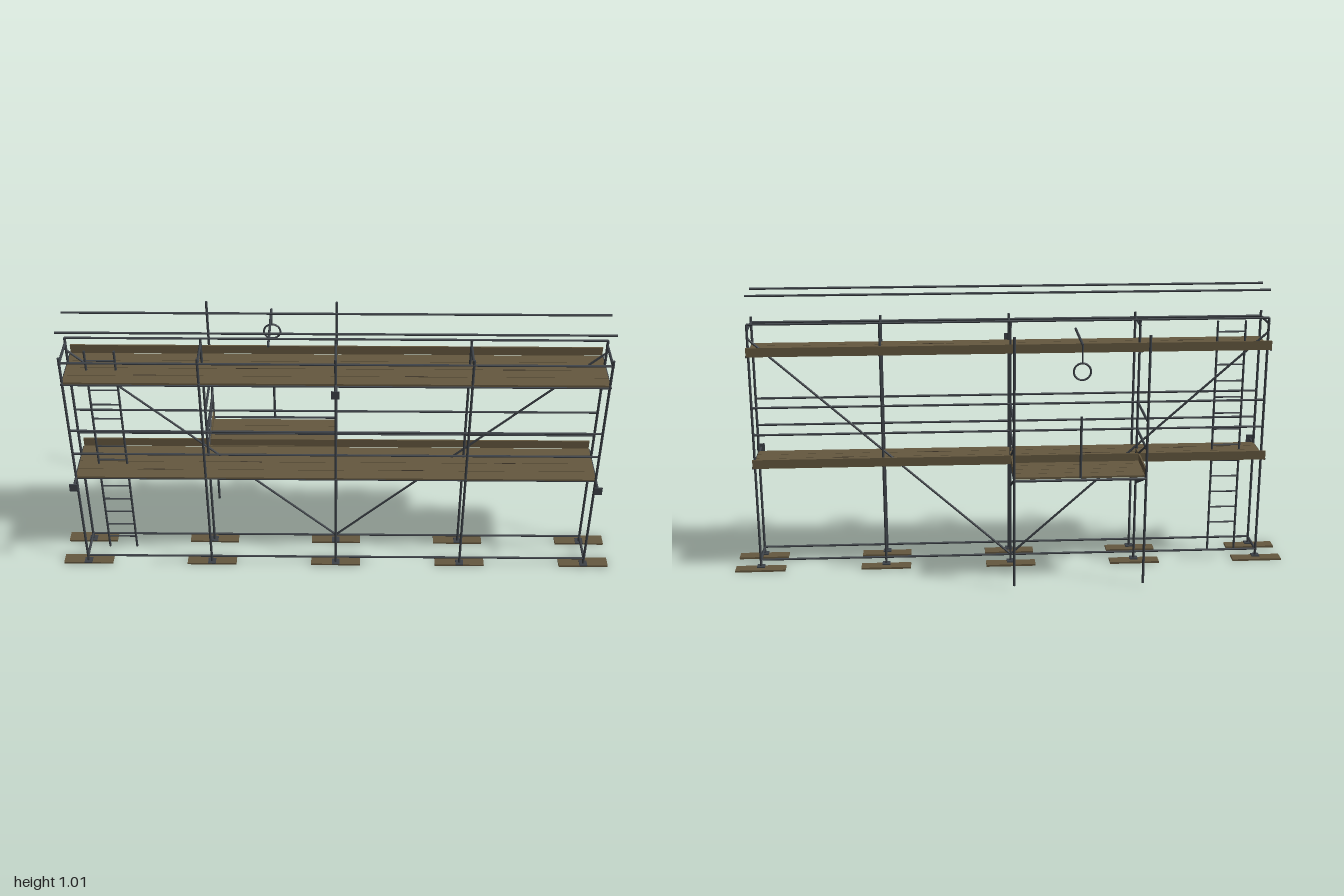
import * as THREE from 'three';

export function createModel() {
  const root = new THREE.Group();
  const mat = (name, color) => {
    const m = new THREE.MeshStandardMaterial({ color });
    m.name = name;
    return m;
  };
  const steel = mat('tube steel', 0x3c4147);
  const timber = mat('scaffold board', 0x65583f);
  const darkTimber = mat('board joint', 0x40372a);

  const R = 0.0045;
  const BAYS = [-0.91, -0.455, 0, 0.455, 0.91];
  const FRONT = 0.148, INNER = 0.027, REAR = -0.205;
  const END = 0.91;

  const add = (name, geo, m) => {
    const mesh = new THREE.Mesh(geo, m);
    mesh.name = name;
    root.add(mesh);
    return mesh;
  };
  // Round tube between two points
  const tube = (name, a, b, r = R) => {
    const p = new THREE.Vector3(...a), q = new THREE.Vector3(...b);
    const d = q.clone().sub(p);
    const mesh = add(name, new THREE.CylinderGeometry(r, r, d.length(), 10), steel);
    mesh.position.copy(p).add(q).multiplyScalar(0.5);
    mesh.quaternion.setFromUnitVectors(new THREE.Vector3(0, 1, 0), d.normalize());
  };
  // Box given by its minimum and maximum corners
  const box = (name, a, b, m) => {
    const mesh = add(name, new THREE.BoxGeometry(b[0] - a[0], b[1] - a[1], b[2] - a[2]), m);
    mesh.position.set((a[0] + b[0]) / 2, (a[1] + b[1]) / 2, (a[2] + b[2]) / 2);
  };
  // Boards laid side by side along x
  const boards = (name, x0, x1, z0, z1, y, count) => {
    const w = (z1 - z0) / count;
    for (let i = 0; i < count; i++) {
      box(name, [x0, y - 0.007, z0 + i * w + 0.0008], [x1, y, z0 + (i + 1) * w - 0.0008], timber);
    }
  };

  // Uprights with sole boards and base plates
  for (const x of BAYS) {
    for (const z of [FRONT, INNER]) {
      tube('standard', [x, 0.01, z], [x, 0.91, z]);
      const zc = z - 0.012;
      box('soleBoard', [x - 0.09, 0, zc - 0.022], [x + 0.09, 0.007, zc + 0.022], timber);
      box('basePlate', [x - 0.014, 0.007, z - 0.014], [x + 0.014, 0.011, z + 0.014], steel);
    }
    tube('topTransom', [x, 0.89, FRONT + 0.005], [x, 0.89, INNER - 0.005]);
  }
  for (const x of [-END, END]) {
    tube('footTransom', [x, 0.032, FRONT], [x, 0.032, INNER]);
  }

  // Long ledgers and guard rails
  for (const z of [FRONT, INNER]) {
    for (const y of [0.034, 0.402, 0.51, 0.61, 0.802, 1.01]) {
      tube('longRail', [-END, y, z], [END, y, z], 0.004);
    }
  }
  tube('innerTopRail', [-END, 0.91, INNER], [END, 0.91, INNER], 0.004);
  tube('frontTopRail', [-END, 0.89, FRONT], [END, 0.89, FRONT], 0.004);

  // Working decks with toe boards and transoms
  for (const y of [0.41, 0.814]) {
    boards('deckBoard', -END, END, -0.025, 0.152, y, 4);
    box('toeBoard', [-END, y - 0.004, -0.036], [END, y + 0.028, -0.031], timber);
    for (const x of BAYS) {
      const long = y > 0.6 ? x === 0 : Math.abs(x) === END;
      const out = long ? 0.207 : 0.158;
      tube('deckTransom', [x, y - 0.006, out], [x, y - 0.006, -0.024]);
      if (long) {
        box('endTag', [x - 0.014, y - 0.02, 0.205], [x + 0.014, y + 0.01, 0.209], steel);
      }
    }
    // Board joint marks
    for (const [x, z] of [[-0.64, 0.106], [-0.3, 0.063], [0.27, 0.106], [0.6, 0.063]]) {
      box('boardJoint', [x - 0.038, y, z - 0.002], [x + 0.038, y + 0.001, z + 0.002], darkTimber);
    }
  }

  // Long V-shaped bracing on the inner row
  for (const s of [-1, 1]) {
    tube('diagonalBrace', [0, 0.035, INNER], [s * END, 0.86, INNER], 0.004);
  }

  // Loading platform at the back
  boards('platformBoard', -0.455, 0, -0.19, -0.026, 0.41, 4);
  for (const x of [-0.455, 0]) {
    tube('platformStandard', [x, 0.012, REAR], [x, 0.91, REAR]);
    tube('platformTransom', [x, 0.404, INNER], [x, 0.404, REAR]);
    tube('platformBrace', [x, 0.305, INNER], [x, 0.405, REAR]);
    tube('platformGuardBrace', [x, 0.41, INNER], [x, 0.525, REAR], 0.0035);
    for (const y of [0.508, 0.608]) {
      tube('platformSideRail', [x, y, INNER + 0.01], [x, y, REAR]);
    }
    box('platformToeBoard', [x - 0.0025, 0.408, REAR + 0.005], [x + 0.0025, 0.436, INNER - 0.004], timber);
  }
  tube('platformLedger', [-0.455, 0.404, REAR - 0.004], [0, 0.404, REAR - 0.004]);

  // Hoist arm, wheel and post
  const HX = -0.228;
  tube('hoistArm', [HX, 0.88, INNER], [HX, 0.88, REAR]);
  tube('hoistHanger', [HX, 0.88, REAR], [HX, 0.818, REAR], 0.003);
  add('hoistWheel', new THREE.TorusGeometry(0.029, 0.0035, 8, 32), steel).position.set(HX, 0.788, REAR);
  tube('hoistPost', [HX, 0.41, REAR], [HX, 0.63, REAR]);

  // Ladder
  for (const x of [-0.84, -0.74]) {
    tube('ladderStile', [x, 0.015, 0.076], [x, 0.89, 0.076], 0.004);
  }
  for (let i = 0; i < 14; i++) {
    const y = 0.064 + i * 0.0605;
    tube('ladderRung', [-0.84, y, 0.076], [-0.74, y, 0.076], 0.003);
  }

  return root;
}
